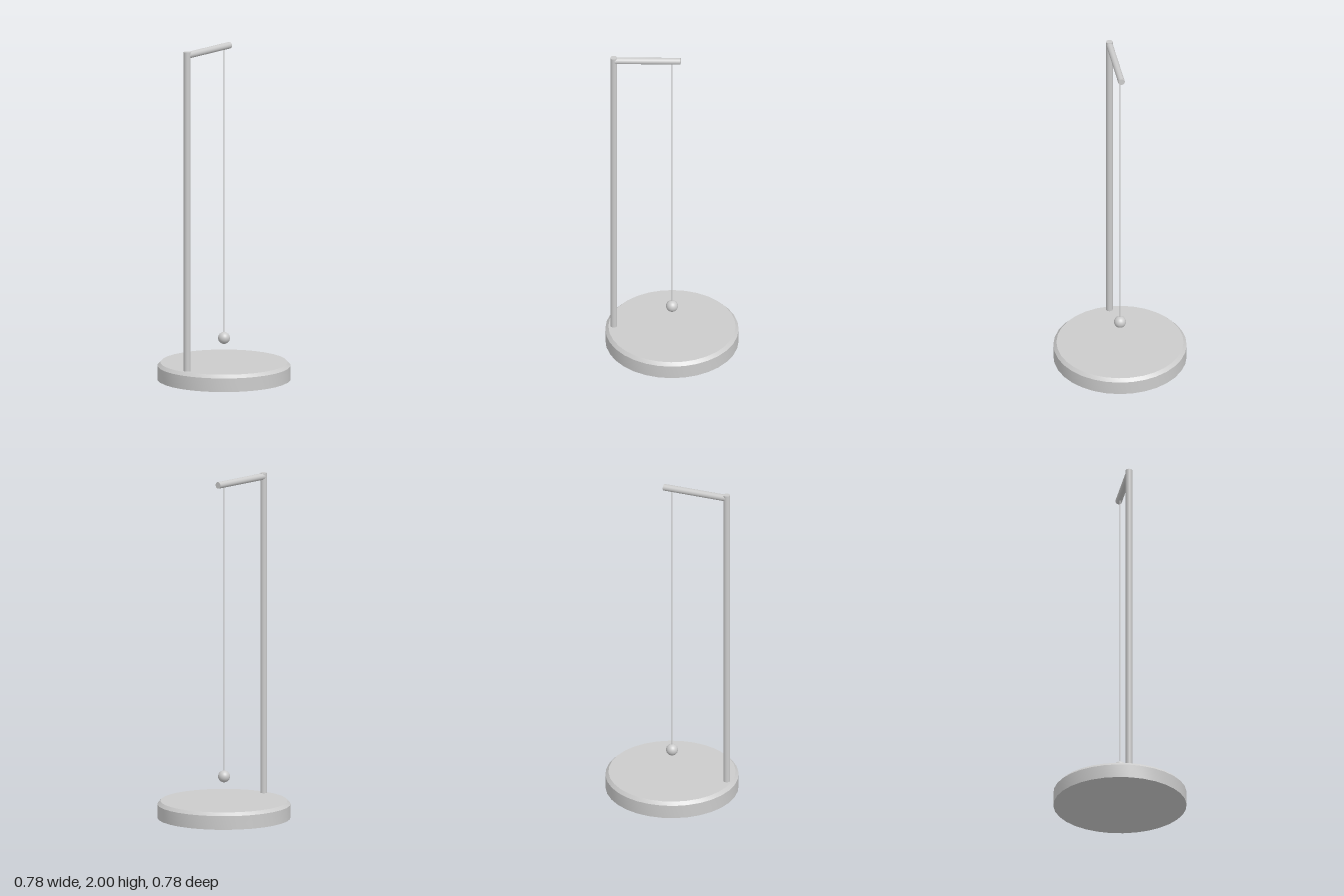
import * as THREE from 'three';
import { toCreasedNormals } from 'three/addons/utils/BufferGeometryUtils.js';

const material = new THREE.MeshStandardMaterial({ color: 0xcccccc });

function add(group, name, geometry, x, y, z = 0) {
  const mesh = new THREE.Mesh(geometry, material);
  mesh.name = name;
  mesh.position.set(x, y, z);
  group.add(mesh);
  return mesh;
}

// Upright rod between two heights
function rod(group, name, radius, x, y0, y1, sides) {
  return add(group, name, new THREE.CylinderGeometry(radius, radius, y1 - y0, sides), x, (y0 + y1) / 2);
}

export function createModel() {
  const model = new THREE.Group();
  model.name = 'pendulumStand';

  // Round base with a bevelled top edge
  const profile = [[0, 0], [0.389, 0], [0.389, 0.081], [0.371, 0.1], [0, 0.1]]
    .map(([r, y]) => new THREE.Vector2(r, y));
  add(model, 'base', toCreasedNormals(new THREE.LatheGeometry(profile, 32), 0.5), 0, 0);

  // Post near the left rim of the base, and the arm reaching over the centre
  const postX = -0.34, armEnd = 0.051, armY = 1.979, radius = 0.0195;
  rod(model, 'post', radius, postX, 0.09, 2, 24);
  const armGeometry = new THREE.CylinderGeometry(radius, radius, armEnd - postX, 24).rotateZ(Math.PI / 2);
  add(model, 'arm', armGeometry, (postX + armEnd) / 2, armY);

  // String and bob hanging from the arm
  const bobY = 0.244;
  rod(model, 'string', 0.003, 0, bobY, armY, 8);
  add(model, 'bob', new THREE.SphereGeometry(0.035, 32, 20), 0, bobY);

  return model;
}
